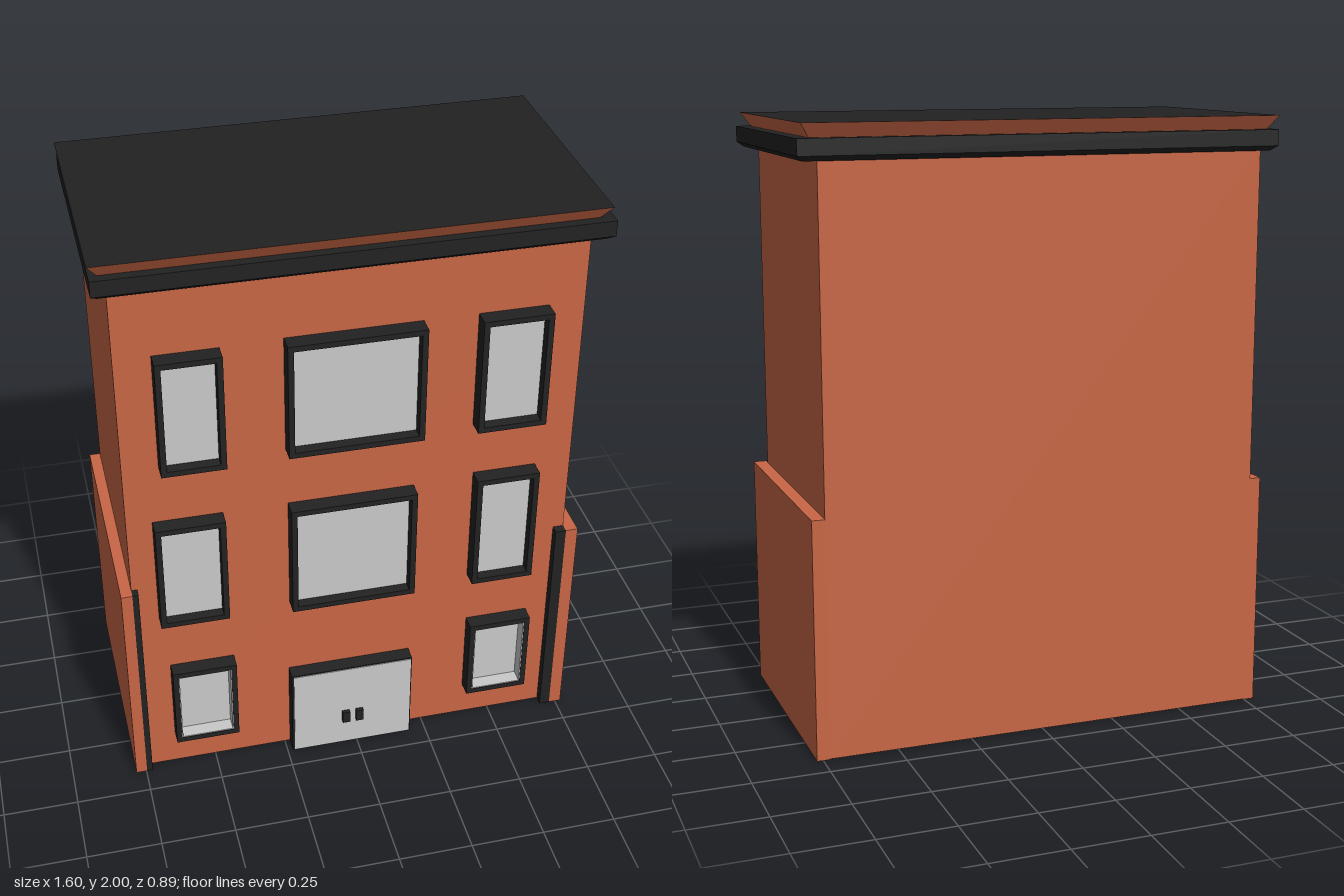
import * as THREE from 'three';

const mat = (name, color) => Object.assign(new THREE.MeshStandardMaterial({ color }), { name });

export function createModel() {
  const brick = mat('brick', 0xc86645);
  const black = mat('black trim', 0x222222);
  const pane = mat('pale grey pane', 0xc9c9c9);
  const model = new THREE.Group();

  const add = (parent, name, geometry, material) => {
    const mesh = new THREE.Mesh(geometry, material);
    mesh.name = name;
    parent.add(mesh);
    return mesh;
  };

  // Box given by its limits on each axis
  const block = (parent, name, [x0, x1], [y0, y1], [z0, z1], material) => {
    const g = new THREE.BoxGeometry(x1 - x0, y1 - y0, z1 - z0);
    g.translate((x0 + x1) / 2, (y0 + y1) / 2, (z0 + z1) / 2);
    return add(parent, name, g, material);
  };

  // Box whose lower rim is drawn inwards
  const flared = (name, xs, ys, zs, inset, material) => {
    const mesh = block(model, name, xs, ys, zs, material);
    const p = mesh.geometry.attributes.position;
    const mid = (ys[0] + ys[1]) / 2, cx = (xs[0] + xs[1]) / 2, cz = (zs[0] + zs[1]) / 2;
    for (let i = 0; i < p.count; i++) {
      if (p.getY(i) > mid) continue;
      p.setX(i, p.getX(i) - Math.sign(p.getX(i) - cx) * inset);
      p.setZ(i, p.getZ(i) - Math.sign(p.getZ(i) - cz) * inset);
    }
    mesh.geometry = mesh.geometry.toNonIndexed();
    // keep the per-face groups for the material array
    for (let i = 0; i < 6; i++) mesh.geometry.addGroup(i * 6, 6, i);
    mesh.geometry.computeVertexNormals();
  };

  // Rectangular ring standing on the wall
  const ring = (x0, x1, y0, y1, t, z0, z1) => {
    const rect = (Type, a, b, c, d) => new Type([[a, c], [b, c], [b, d], [a, d]].map(([x, y]) => new THREE.Vector2(x, y)));
    const s = rect(THREE.Shape, x0, x1, y0, y1);
    s.holes.push(rect(THREE.Path, x0 + t, x1 - t, y0 + t, y1 - t));
    return new THREE.ExtrudeGeometry(s, { depth: z1 - z0, bevelEnabled: false }).translate(0, 0, z0);
  };

  // Walls
  block(model, 'mainBody', [-0.748, 0.728], [0.002, 1.9], [-0.41, 0.38], brick);
  block(model, 'leftWing', [0.728, 0.77], [0, 0.79], [-0.41, 0.41], brick);
  block(model, 'rightWing', [-0.785, -0.748], [0, 0.79], [-0.41, 0.41], brick);
  block(model, 'leftWingTrim', [0.692, 0.728], [0, 0.79], [0.375, 0.41], black);
  block(model, 'rightWingTrim', [-0.748, -0.728], [0, 0.79], [0.375, 0.41], black);
  block(model, 'basePlate', [-0.23, 0.2], [0, 0.004], [-0.02, 0.235], black);

  // Cornice with a chamfered underside, then the flared parapet with a dark roof
  flared('corniceUnderside', [-0.796, 0.796], [1.887, 1.903], [-0.442, 0.41], 0.02, black);
  block(model, 'cornice', [-0.796, 0.796], [1.903, 1.955], [-0.442, 0.41], black);
  flared('parapet', [-0.8, 0.782], [1.955, 2], [-0.438, 0.407], 0.03,
    [brick, brick, black, brick, brick, brick]);

  // Windows: x limits, y limits, front of frame
  const windows = [
    [-0.632, -0.426, 1.26, 1.667, 0.437], [-0.23, 0.208, 1.265, 1.672, 0.437], [0.384, 0.611, 1.262, 1.672, 0.437],
    [-0.664, -0.437, 0.656, 1.053, 0.435], [-0.225, 0.193, 0.64, 1.053, 0.435], [0.394, 0.606, 0.64, 1.069, 0.435],
    [-0.638, -0.421, 0.132, 0.444, 0.432], [0.4, 0.616, 0.132, 0.444, 0.432],
  ];
  for (const [x0, x1, y0, y1, front] of windows) {
    const win = new THREE.Group();
    win.name = 'window';
    model.add(win);
    const t = 0.019, ground = y0 < 0.2;
    add(win, 'windowFrame', ring(x0, x1, y0, y1, t, 0.375, front), black);
    const back = ground ? 0.383 : 0.4;
    block(win, 'windowPane', [x0 + t, x1 - t], [y0 + t, y1 - t], [back - 0.008, back], pane);
    // Ground-floor windows have pale reveals
    if (ground) add(win, 'windowReveal', ring(x0 + t, x1 - t, y0 + t, y1 - t, 0.003, 0.38, front - 0.002), pane);
  }

  // Entrance with a pale front face and two handles
  const door = new THREE.Group();
  door.name = 'door';
  model.add(door);
  block(door, 'doorFrame', [-0.232, 0.194], [0, 0.346], [0.375, 0.43], black);
  block(door, 'doorPanel', [-0.225, 0.19], [0.004, 0.342], [0.427, 0.433], pane);
  for (const x of [-0.055, -0.007]) {
    block(door, 'doorHandle', [x, x + 0.026], [0.107, 0.153], [0.43, 0.447], black);
  }
  return model;
}
